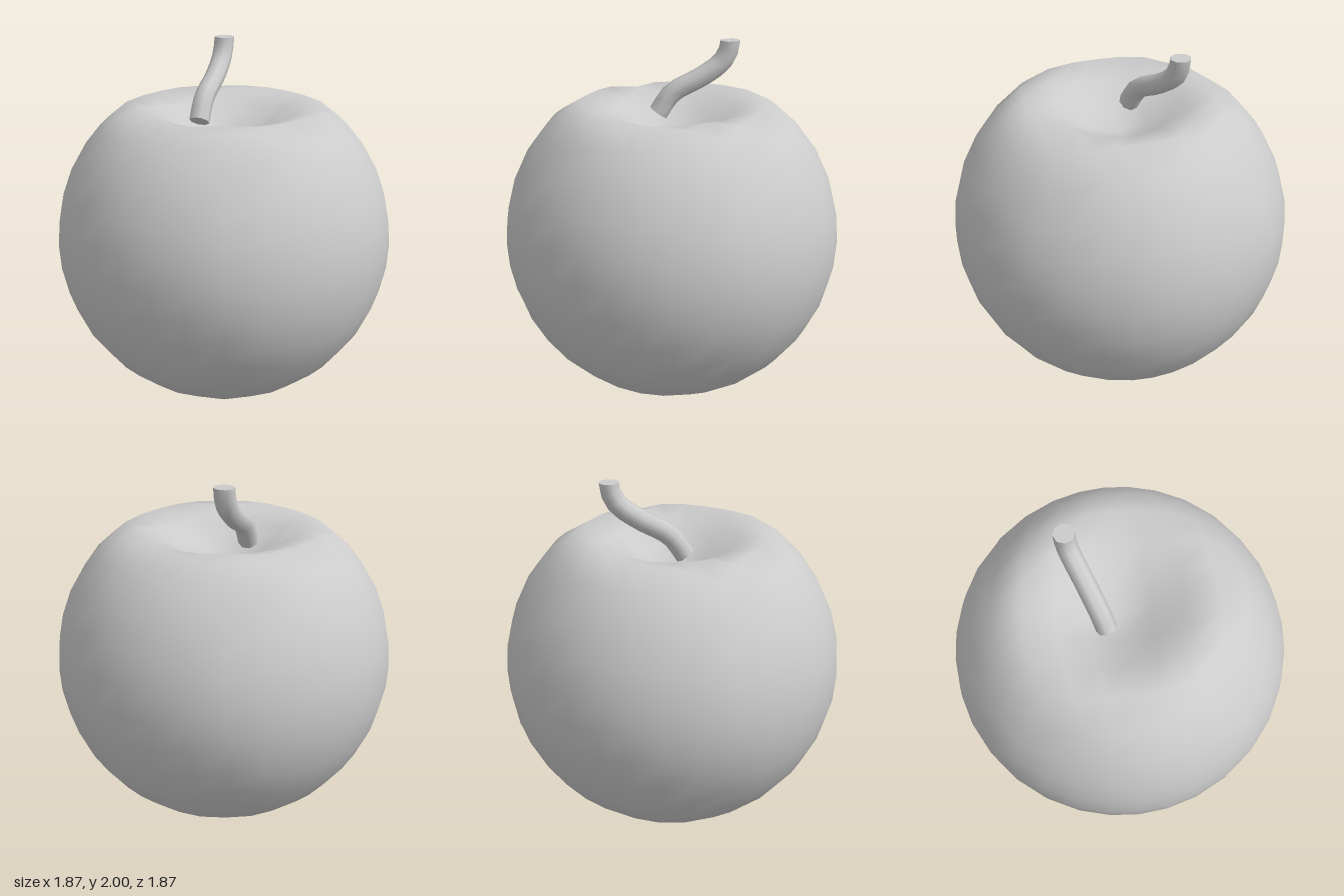
import * as THREE from 'three';
import { mergeVertices } from 'three/addons/utils/BufferGeometryUtils.js';

const R = 0.935;

// Cube subdivided and rounded into a ball, with a hollow pressed into the top
function fruitGeometry() {
  const box = new THREE.BoxGeometry(2, 2, 2, 8, 8, 8);
  box.deleteAttribute('uv');
  box.deleteAttribute('normal');
  const geo = mergeVertices(box);
  const pos = geo.attributes.position;
  const even = (t) => 0.68 * t + 0.32 * t * t * t;
  const p = new THREE.Vector3();
  for (let i = 0; i < pos.count; i++) {
    p.fromBufferAttribute(pos, i);
    p.set(even(p.x), even(p.y), even(p.z)).setLength(R);
    const r = Math.hypot(p.x, p.z);
    if (p.y > 0) p.y -= 0.4 * (1 - THREE.MathUtils.smoothstep(r, 0, 0.62));
    pos.setXYZ(i, p.x, p.y + R, p.z);
  }
  geo.computeVertexNormals();
  return geo;
}

// Flat end cap made from one ring of the tube
function capGeometry(tube, ring, sides, flip) {
  const pts = [];
  const at = (j) => new THREE.Vector3().fromBufferAttribute(tube.attributes.position, ring * (sides + 1) + j);
  for (let j = 1; j < sides - 1; j++) {
    const tri = [at(0), at(j), at(j + 1)];
    if (flip) tri.reverse();
    pts.push(...tri);
  }
  const geo = new THREE.BufferGeometry().setFromPoints(pts);
  geo.computeVertexNormals();
  return geo;
}

export function createModel() {
  const group = new THREE.Group();
  const material = new THREE.MeshStandardMaterial({ color: 0xcccccc });
  const capMaterial = new THREE.MeshStandardMaterial({ color: 0xcccccc, side: THREE.DoubleSide });

  const fruit = new THREE.Mesh(fruitGeometry(), material);
  fruit.name = 'fruit';
  group.add(fruit);

  // Bent stem leaning to the back right
  const path = new THREE.CatmullRomCurve3([
    [-0.08, 1.6, 0.11], [-0.115, 1.71, 0.04], [-0.18, 1.8, -0.11],
    [-0.228, 1.88, -0.21], [-0.243, 1.95, -0.245], [-0.245, 2, -0.252],
  ].map((c) => new THREE.Vector3(...c)));
  const sides = 8, steps = 10;
  const tube = new THREE.TubeGeometry(path, steps, 0.056, sides);

  // Level the upper end
  const pos = tube.attributes.position;
  for (let j = 0; j <= sides; j++) pos.setY(steps * (sides + 1) + j, 2);

  const stem = new THREE.Group();
  stem.name = 'stem';
  const shaft = new THREE.Mesh(tube, material);
  shaft.name = 'stemShaft';
  const top = new THREE.Mesh(capGeometry(tube, steps, sides, true), capMaterial);
  top.name = 'stemTop';
  const base = new THREE.Mesh(capGeometry(tube, 0, sides, false), capMaterial);
  base.name = 'stemBase';
  stem.add(shaft, top, base);
  group.add(stem);

  return group;
}
